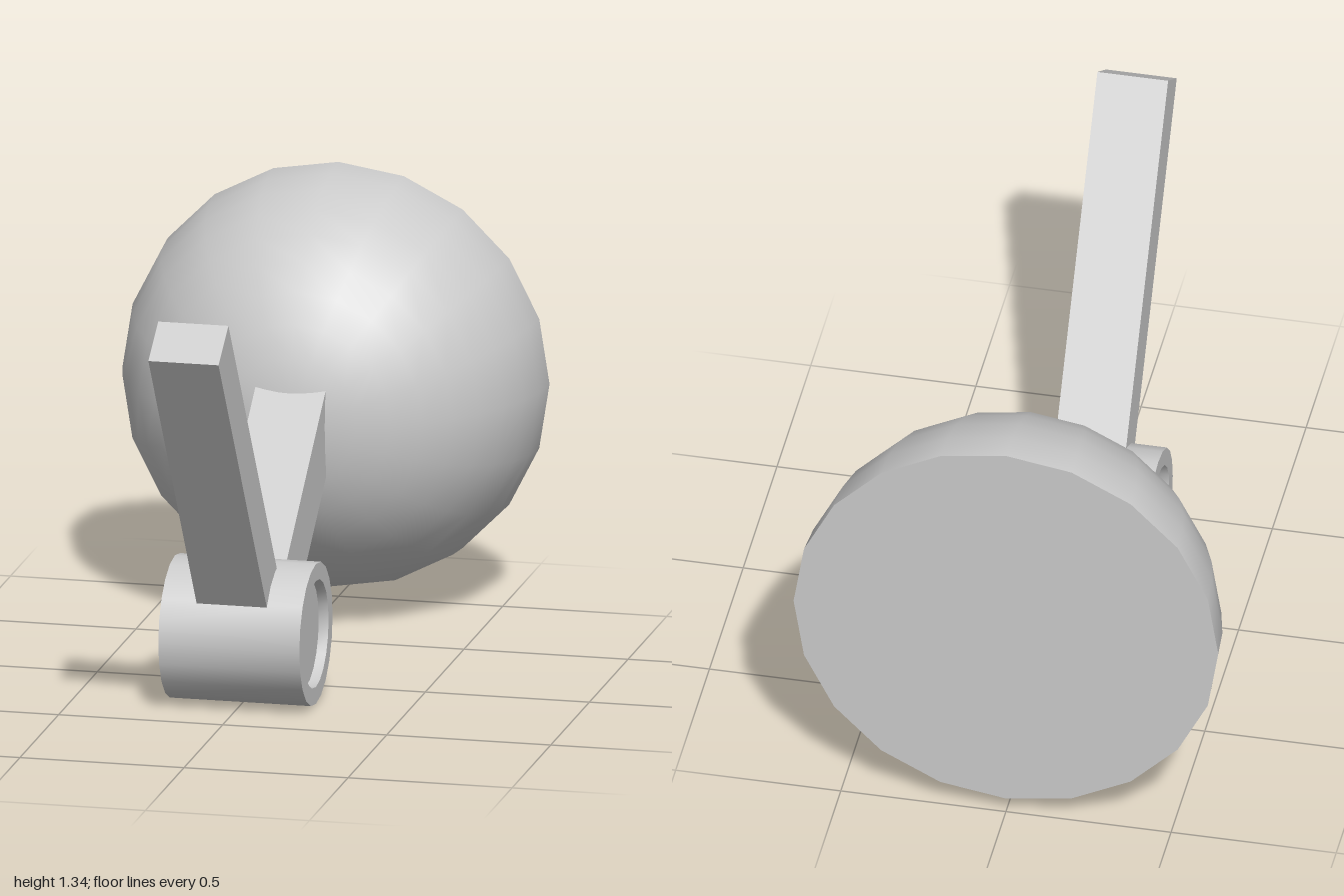
import * as THREE from 'three';
import { toCreasedNormals } from 'three/addons/utils/BufferGeometryUtils.js';

const HUB_Y = 0.215, HUB_Z = 0.205, SIDES = 20;

export function createModel() {
  const model = new THREE.Group();
  const material = new THREE.MeshStandardMaterial({ color: 0xcccccc });

  function add(name, geometry, parent = model) {
    const mesh = new THREE.Mesh(geometry, material);
    mesh.name = name;
    parent.add(mesh);
    return mesh;
  }

  // Hub: a drum lying along x with a shallow round recess in each end
  const r = 0.215, half = 0.215, inner = 0.163, depth = 0.03;
  const profile = [
    [0, depth - half], [inner, depth - half], [inner, -half], [r, -half],
    [r, half], [inner, half], [inner, half - depth], [0, half - depth],
  ].map(([x, y]) => new THREE.Vector2(x, y));
  const hubGeometry = new THREE.LatheGeometry(profile, SIDES);
  hubGeometry.rotateZ(Math.PI / 2);
  add('hub', toCreasedNormals(hubGeometry, 0.6)).position.set(0, HUB_Y, HUB_Z);

  // Arms: square-ended bars radiating from the hub centre, tilted from upright
  function arm(name, thickness, length, tilt) {
    const bar = new THREE.BoxGeometry(0.214, length, thickness);
    bar.translate(0, length / 2, 0);
    const mesh = add(name, bar);
    mesh.position.set(0, HUB_Y, HUB_Z);
    mesh.rotation.x = THREE.MathUtils.degToRad(tilt);
  }
  arm('frontArm', 0.155, 1.303, 34.5);
  arm('domeArm', 0.214, 0.9, -52.3);

  // Dome: a half ball bulging forward, closed by a flat back
  const dome = new THREE.Group();
  dome.name = 'dome';
  dome.position.set(0, 0.692, -1);
  const shell = new THREE.SphereGeometry(0.643, SIDES, 10, 0, Math.PI * 2, 0, Math.PI / 2);
  shell.rotateX(Math.PI / 2);
  add('domeShell', shell, dome);
  const back = new THREE.CircleGeometry(0.643, SIDES);
  back.rotateY(Math.PI);
  add('domeBack', back, dome);
  model.add(dome);

  return model;
}
